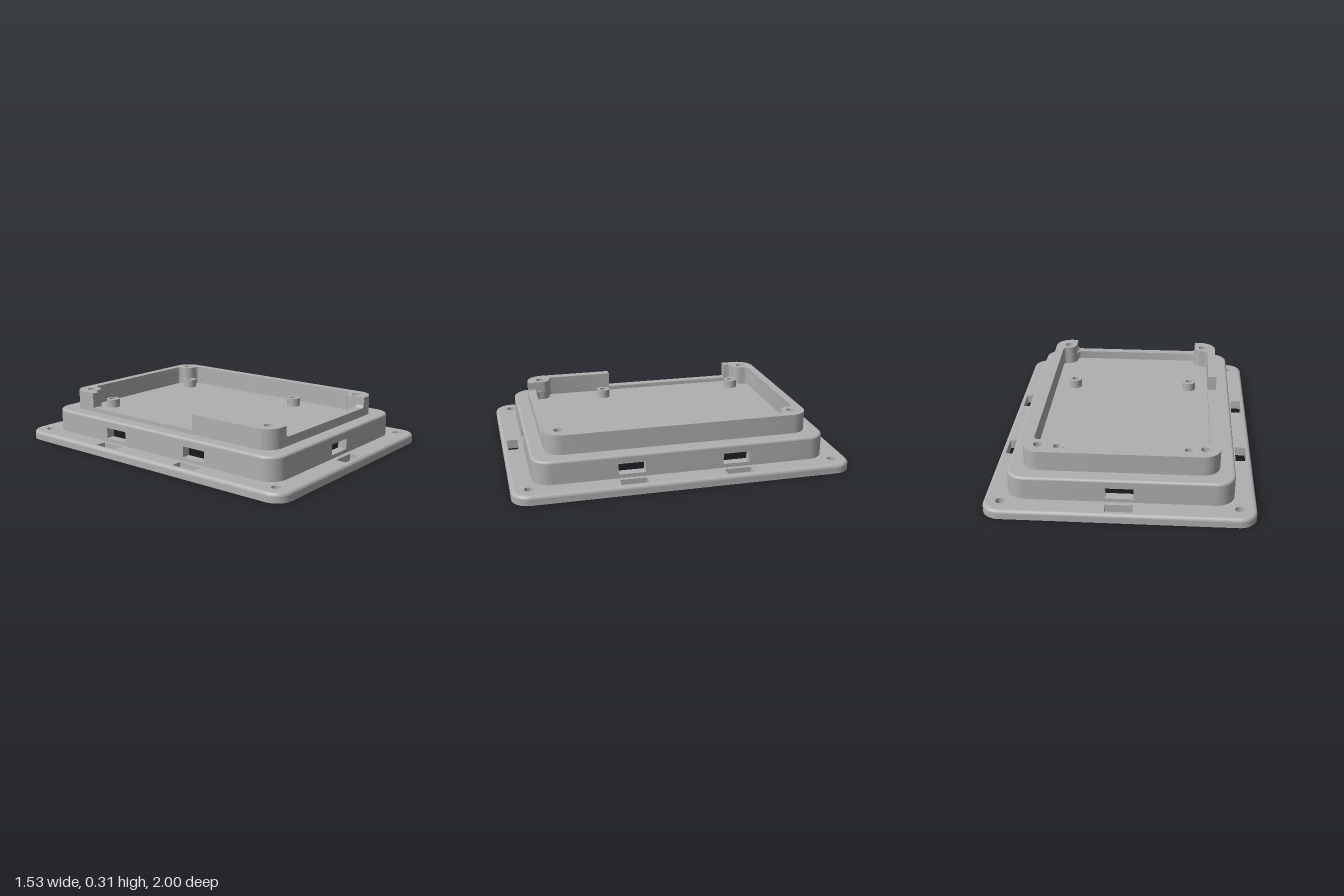
import * as THREE from 'three';
import { toCreasedNormals } from 'three/addons/utils/BufferGeometryUtils.js';

const SIDES = [[1, 1], [-1, 1], [-1, -1], [1, -1]];

export function createModel() {
  const model = new THREE.Group();
  model.name = 'enclosureBase';
  const grey = new THREE.MeshStandardMaterial({ color: 0xb0b0b0 });
  grey.name = 'matte grey';

  // Plan outlines are lists of [x, z] points
  const arc = (cx, cz, r, a0, a1, n = 8) => Array.from({ length: n + 1 }, (_, i) => {
    const a = a0 + (a1 - a0) * i / n;
    return [cx + r * Math.cos(a), cz + r * Math.sin(a)];
  });
  const Q = Math.PI / 2;
  const roundRect = (w, d, r) => SIDES.flatMap(([sx, sz], i) =>
    arc(sx * (w - r), sz * (d - r), r, i * Q, (i + 1) * Q));
  const circle = (x, z, r) => arc(x, z, r, 0, Q * 4, 24).slice(0, -1);
  const rect = (x, z, w, d) => [[x - w, z - d], [x + w, z - d], [x + w, z + d], [x - w, z + d]];
  const mirror = (pts, [sx, sz]) => pts.map(([x, z]) => [x * sx, z * sz]);

  // Counter-clockwise outline, so that outer walls and holes face the right way
  function vectors(pts) {
    const v = pts.map(([x, z]) => new THREE.Vector2(x, -z));
    return THREE.ShapeUtils.isClockWise(v) ? v.reverse() : v;
  }

  function add(name, geometry) {
    const mesh = new THREE.Mesh(geometry, grey);
    mesh.name = name;
    model.add(mesh);
  }

  // Horizontal slab with vertical sides
  function slab(name, outline, holes, y0, y1) {
    const shape = new THREE.Shape(vectors(outline));
    holes.forEach(h => shape.holes.push(new THREE.Path(vectors(h).reverse())));
    const g = new THREE.ExtrudeGeometry(shape, { depth: y1 - y0, bevelEnabled: false });
    g.rotateX(-Q).translate(0, y0, 0);
    add(name, toCreasedNormals(g, 0.6));
  }

  // Rounded-over top edge of a rounded rectangle
  function fillet(name, w, d, r, top, f) {
    const pos = [], idx = [], steps = 5;
    let n = 0;
    for (let j = 0; j <= steps; j++) {
      const a = Q * j / steps, inset = f * (1 - Math.cos(a));
      const loop = roundRect(w - inset, d - inset, r - inset);
      n = loop.length;
      loop.forEach(([x, z]) => pos.push(x, top - f + f * Math.sin(a), z));
    }
    for (let j = 0; j < steps; j++) for (let i = 0; i < n; i++) {
      const a = j * n + i, b = j * n + (i + 1) % n;
      idx.push(a, a + n, b, b, a + n, b + n);
    }
    const g = new THREE.BufferGeometry();
    g.setAttribute('position', new THREE.Float32BufferAttribute(pos, 3));
    g.setIndex(idx);
    g.computeVertexNormals();
    add(name, g);
  }

  function filletedSlab(name, w, d, r, holes, y0, y1, f) {
    slab(name, roundRect(w, d, r), holes, y0, y1 - f);
    slab(name + 'Top', roundRect(w - f, d - f, r - f), holes, y1 - f, y1);
    fillet(name + 'Edge', w, d, r, y1, f);
  }

  // Mounting flange with strap slots and corner screw holes
  const cavity = roundRect(0.59, 0.82, 0.05);
  filletedSlab('flange', 0.765, 1, 0.1, [
    cavity,
    ...SIDES.map(([sx, sz]) => circle(sx * 0.668, sz * 0.901, 0.026)),
    ...SIDES.map(([sx, sz]) => rect(sx * 0.702, sz * 0.311, 0.033, 0.079)),
    ...[1, -1].map(s => rect(0, s * 0.936, 0.078, 0.033)),
  ], 0, 0.055, 0.02);

  // Hollow middle tier: lower band, slotted band, then the floor plate
  slab('middleWallLower', roundRect(0.645, 0.875, 0.11), [cavity], 0.055, 0.078);
  const cornerWall = [
    [0.08, 0.82], [0.08, 0.875], ...arc(0.535, 0.765, 0.11, Q, 0),
    [0.645, 0.39], [0.59, 0.39], ...arc(0.54, 0.77, 0.05, 0, Q),
  ];
  SIDES.forEach(s => slab('middleWallCorner', mirror(cornerWall, s), [], 0.078, 0.143));
  [1, -1].forEach(s =>
    slab('middleWallSide', rect(s * 0.6175, 0, 0.0275, 0.232), [], 0.078, 0.143));

  const posts = [[-0.38, -0.606], [0.38, -0.606], [-0.38, 0.292], [0.38, 0.292]];
  const screw = ([sx, sz]) => circle(sx * 0.473, sz * 0.705, 0.026);
  filletedSlab('floorPlate', 0.645, 0.875, 0.11, [
    ...SIDES.map(screw),
    ...posts.map(([x, z]) => circle(x, z, 0.022)),
  ], 0.143, 0.195, 0.015);

  // Nut pads under the floor, with square pockets
  const pad = [
    [0.59, 0.5], [0.575, 0.54], [0.545, 0.58], [0.505, 0.602],
    ...arc(0.475, 0.705, 0.1, -Q, -2 * Q),
    [0.37, 0.74], [0.35, 0.775], [0.31, 0.805], [0.27, 0.82],
    ...arc(0.54, 0.77, 0.05, Q, 0),
  ];
  SIDES.forEach(s => slab('nutPad', mirror(pad, s),
    [rect(s[0] * 0.473, s[1] * 0.705, 0.032, 0.032)], 0.11, 0.143));

  // Standoff posts
  posts.forEach(([x, z]) =>
    slab('standoff', circle(x, z, 0.042), [circle(x, z, 0.022)], 0.195, 0.247));

  // One corner of the upper wall with its screw boss, cut off at x = xa and z = za
  const upperCorner = (xa, za) => [
    [xa, 0.79], ...arc(0.46, 0.69, 0.1, Q, 0), [0.56, za], [0.505, za],
    ...[
      [0.505, 0.62], [0.5, 0.637], [0.487, 0.645],
      ...arc(0.475, 0.705, 0.06, -Q, -2 * Q),
      [0.413, 0.722], [0.407, 0.734], [0.395, 0.74], [xa, 0.74],
    ].map(([x, z]) => [Math.max(x, xa), z]),
  ];
  // Bands: full wall, then the left opening, then the front opening as well
  [[0.195, 0.22, false, false], [0.22, 0.248, true, false], [0.248, 0.313, true, true]]
    .forEach(([y0, y1, leftOpen, frontOpen]) => SIDES.forEach(s => {
      const xa = frontOpen && s[1] > 0 ? 0.42 : 0;
      const za = leftOpen && s[0] < 0 ? (s[1] > 0 ? 0.23 : 0.6) : 0;
      slab('upperWall', mirror(upperCorner(xa, za), s), [screw(s)], y0, y1);
    }));

  // Rounded lower corners of the front opening
  [1, -1].forEach(s => {
    const outline = [[0.42, 0.248], ...arc(0.4, 0.268, 0.02, 0, -Q)]
      .map(([x, y]) => new THREE.Vector2(s * x, y));
    const g = new THREE.ExtrudeGeometry(new THREE.Shape(outline), { depth: 0.05, bevelEnabled: false });
    g.translate(0, 0, 0.74);
    add('frontOpeningCorner', toCreasedNormals(g, 0.6));
  });

  return model;
}
